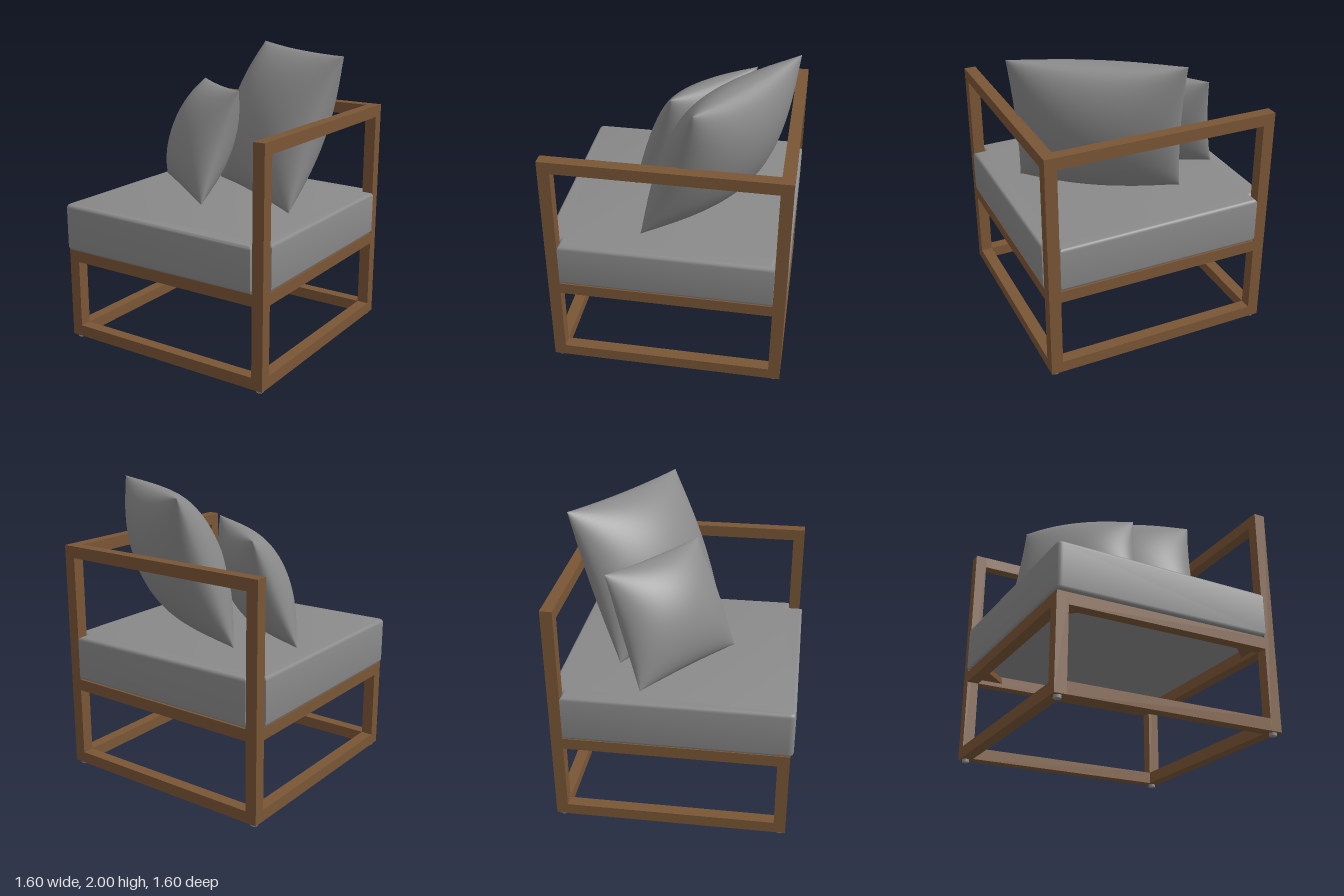
import * as THREE from 'three';
import { mergeGeometries, mergeVertices, toCreasedNormals } from 'three/addons/utils/BufferGeometryUtils.js';

const wood = new THREE.MeshStandardMaterial({ color: 0x7a5636 });
wood.name = 'brown wood';
const fabric = new THREE.MeshStandardMaterial({ color: 0x8a8a8a });
fabric.name = 'grey fabric';

const BAR = 0.08;          // square section of every bar
const X = 0.75;            // bar centre lines
const BACK = -0.76, FRONT = 0.74, MID = (BACK + FRONT) / 2;

function add(parent, name, geometry, material, x = 0, y = 0, z = 0) {
  const mesh = new THREE.Mesh(geometry, material);
  mesh.name = name;
  mesh.position.set(x, y, z);
  parent.add(mesh);
  return mesh;
}

// Seat cushion outline, cut in around the three tall posts
function cushionGeometry() {
  const s = new THREE.Shape();
  const L = -0.8, R = 0.797, F = -0.8, B = 0.803, ix = 0.708, iF = -0.698, iB = 0.718, r = 0.04;
  s.moveTo(L + r, F);
  s.lineTo(ix, F);
  s.lineTo(ix, iF);
  s.lineTo(R, iF);
  s.lineTo(R, iB);
  s.lineTo(ix, iB);
  s.lineTo(ix, B);
  s.lineTo(-ix, B);
  s.lineTo(-ix, iB);
  s.lineTo(L, iB);
  s.lineTo(L, F + r);
  s.quadraticCurveTo(L, F, L + r, F);
  const bevel = 0.025;
  const g = new THREE.ExtrudeGeometry(s, {
    depth: 0.318 - 2 * bevel, bevelEnabled: true, bevelSize: bevel, bevelThickness: bevel,
    bevelOffset: -bevel, bevelSegments: 4, curveSegments: 6,
  });
  g.rotateX(-Math.PI / 2);
  g.translate(0, 0.656 + bevel, 0);
  // The top sinks slightly towards the arm
  const p = g.attributes.position;
  for (let i = 0; i < p.count; i++) {
    if (p.getY(i) > 0.8) p.setY(i, p.getY(i) - 0.012 * p.getX(i));
  }
  return toCreasedNormals(g, 0.7);
}

// Stuffed pillow between four corners: top left, top right, bottom right, bottom left
function pillowGeometry(corners, thickness) {
  const [a, b, c, d] = corners.map((q) => new THREE.Vector3(...q));
  const normal = b.clone().sub(a).cross(a.clone().sub(d)).normalize();
  const half = (side) => {
    const g = new THREE.PlaneGeometry(2, 2, 32, 32);
    if (side < 0) g.rotateY(Math.PI);
    const p = g.attributes.position;
    for (let i = 0; i < p.count; i++) {
      const s = Math.sin(p.getX(i) * Math.PI / 2), t = Math.sin(p.getY(i) * Math.PI / 2);
      const u = s * (1 - 0.035 * (1 - t * t)), v = t * (1 - 0.03 * (1 - s * s));
      const bulge = thickness * Math.pow(Math.max(0, (1 - s * s) * (1 - t * t)), 0.55);
      const top = a.clone().lerp(b, (u + 1) / 2);
      const q = d.clone().lerp(c, (u + 1) / 2).lerp(top, (v + 1) / 2);
      q.addScaledVector(normal, side * bulge);
      p.setXYZ(i, q.x, q.y, q.z);
    }
    g.deleteAttribute('normal');
    g.deleteAttribute('uv');
    return g;
  };
  const g = mergeVertices(mergeGeometries([half(1), half(-1)]), 1e-4);
  g.computeVertexNormals();
  return g;
}

export function createModel() {
  const model = new THREE.Group();
  model.name = 'cornerChair';
  const frame = new THREE.Group();
  frame.name = 'frame';
  model.add(frame);

  // Posts: three tall, the open corner stops at the seat; small glides below
  const glide = new THREE.CylinderGeometry(0.025, 0.025, 0.02, 16);
  for (const [x, z, top] of [[X, FRONT, 1.6], [X, BACK, 1.6], [-X, BACK, 1.6], [-X, FRONT, 0.655]]) {
    add(frame, 'post', new THREE.BoxGeometry(BAR, top - 0.02, BAR), wood, x, (top + 0.02) / 2, z);
    add(frame, 'footGlide', glide, fabric, x, 0.01, z);
  }

  // Rails fit between the posts
  const railX = new THREE.BoxGeometry(2 * X - BAR, BAR, BAR);
  const railZ = new THREE.BoxGeometry(BAR, BAR, FRONT - BACK - BAR);
  for (const [level, y] of [['base', 0.06], ['seat', 0.615]]) {
    for (const z of [FRONT, BACK]) add(frame, level + 'CrossRail', railX, wood, 0, y, z);
    for (const x of [X, -X]) add(frame, level + 'SideRail', railZ, wood, x, y, MID);
  }
  add(frame, 'backRail', railX, wood, 0, 1.56, BACK);
  add(frame, 'armRail', railZ, wood, X, 1.56, MID);

  // Triangular corner braces under the seat
  const triangle = new THREE.Shape([
    new THREE.Vector2(0, 0), new THREE.Vector2(0.18, 0), new THREE.Vector2(0, 0.18)]);
  const brace = new THREE.ExtrudeGeometry(triangle, { depth: 0.04, bevelEnabled: false });
  brace.rotateX(Math.PI / 2);
  const ix = X - BAR / 2, iz = (FRONT - BACK - BAR) / 2;
  [[-1, -1, 0], [-1, 1, 1], [1, 1, 2], [1, -1, 3]].forEach(([sx, sz, turn]) => {
    add(frame, 'cornerBrace', brace, wood, sx * ix, 0.645, MID + sz * iz).rotation.y = turn * Math.PI / 2;
  });

  // Upholstery
  add(model, 'seatCushion', cushionGeometry(), fabric);
  add(model, 'largePillow', pillowGeometry([
    [-0.16, 2.0, -0.76], [0.79, 2.0, -0.19], [0.61, 1.0, 0.18], [-0.33, 0.99, -0.41]], 0.27), fabric);
  add(model, 'smallPillow', pillowGeometry([
    [-0.5, 1.73, -0.45], [0.14, 1.75, 0.06], [0.02, 1.0, 0.34], [-0.69, 1.01, -0.21]], 0.2), fabric);

  return model;
}
